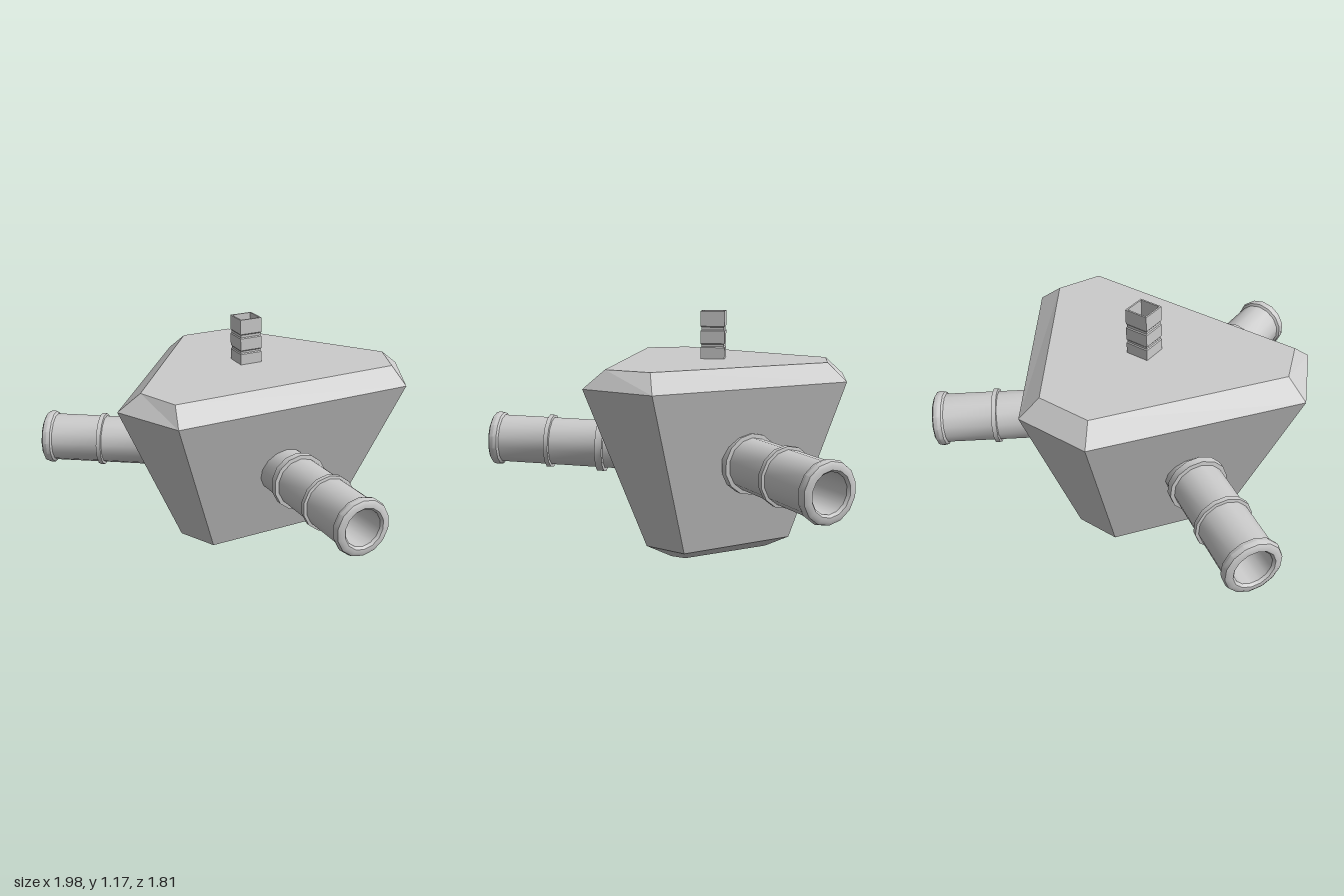
import * as THREE from 'three';
import { toCreasedNormals } from 'three/addons/utils/BufferGeometryUtils.js';

const material = (opts = {}) => new THREE.MeshStandardMaterial({ color: 0xcccccc, ...opts });

// Six-sided body: each ring is [y, back half width, back z, side half width, side z, front half width, front z]
function bodyGeometry() {
  const cx = 0.04;
  const rings = [
    [0, 0.05, -0.52, 0.307, -0.145, 0.285, -0.075],
    [0.07, 0.11, -0.635, 0.457, -0.157, 0.36, 0.035],
    [0.855, 0.19, -0.89, 0.793, -0.06, 0.622, 0.277],
    [0.94, 0.138, -0.8, 0.682, -0.035, 0.595, 0.18],
  ].map(([y, b, bz, s, sz, f, fz]) => [
    [cx - b, y, bz], [cx + b, y, bz], [cx + s, y, sz],
    [cx + f, y, fz], [cx - f, y, fz], [cx - s, y, sz],
  ]);
  const pos = [];
  const face = (pts) => {
    for (let i = 1; i < pts.length - 1; i++) pos.push(...pts[0], ...pts[i], ...pts[i + 1]);
  };
  for (let r = 0; r < rings.length - 1; r++) {
    for (let i = 0; i < 6; i++) {
      const j = (i + 1) % 6;
      face([rings[r][i], rings[r + 1][i], rings[r + 1][j], rings[r][j]]);
    }
  }
  face(rings[0]);
  face([...rings[3]].reverse());
  const geo = new THREE.BufferGeometry();
  geo.setAttribute('position', new THREE.Float32BufferAttribute(pos, 3));
  geo.computeVertexNormals();
  return geo;
}

// Lathe from [radius, height] pairs
const lathe = (pairs, sides) =>
  new THREE.LatheGeometry(pairs.map(([r, y]) => new THREE.Vector2(r, y)), sides);

// Hollow peg along +y with two raised bands and a rounded lip; the mouth is at y = 0
function pegGeometry() {
  const r = 0.124, inner = 0.09;
  return toCreasedNormals(lathe([
    [r, -0.82],
    [r, -0.598], [0.143, -0.596], [0.143, -0.56], [r, -0.558],
    [r, -0.318], [0.138, -0.316], [0.138, -0.294], [r, -0.292],
    [r, -0.054], [0.136, -0.046], [0.14, -0.028], [0.134, -0.008], [0.12, 0],
    [0.1, 0], [inner, -0.012], [inner, -0.82],
  ], 14), 0.6);
}

export function createModel() {
  const model = new THREE.Group();
  const add = (name, geo, mat) => {
    const mesh = new THREE.Mesh(geo, mat);
    mesh.name = name;
    model.add(mesh);
    return mesh;
  };

  add('body', bodyGeometry(), material({ flatShading: true }));

  // Three pegs spread around the body: mouth position and outward direction
  const pegGeo = pegGeometry();
  const pegMat = material({ side: THREE.DoubleSide });
  const up = new THREE.Vector3(0, 1, 0);
  for (const [name, mouth, dir] of [
    ['frontPeg', [0.016, 0.506, 0.9], [0, 0.033, 1]],
    ['leftPeg', [0.917, 0.483, -0.802], [0.796, -0.03, -0.606]],
    ['rightPeg', [-0.925, 0.503, -0.76], [-0.85, 0.022, -0.527]],
  ]) {
    const peg = add(name, pegGeo, pegMat);
    peg.position.set(...mouth);
    peg.quaternion.setFromUnitVectors(up, new THREE.Vector3(...dir).normalize());
  }

  // Square hollow stem with two shallow grooves
  const out = 0.059 * Math.SQRT2, groove = 0.055 * Math.SQRT2, bore = 0.051 * Math.SQRT2;
  const stem = add('topStem', lathe([
    [out, 0.93], [out, 0.995], [groove, 1.0], [groove, 1.01],
    [out, 1.015], [out, 1.077], [groove, 1.082], [groove, 1.095],
    [out, 1.1], [out, 1.175], [bore, 1.175], [bore, 0.93],
  ], 4), material({ flatShading: true, side: THREE.DoubleSide }));
  stem.rotation.y = Math.PI / 4;
  stem.position.set(0.016, 0, -0.243);

  return model;
}
